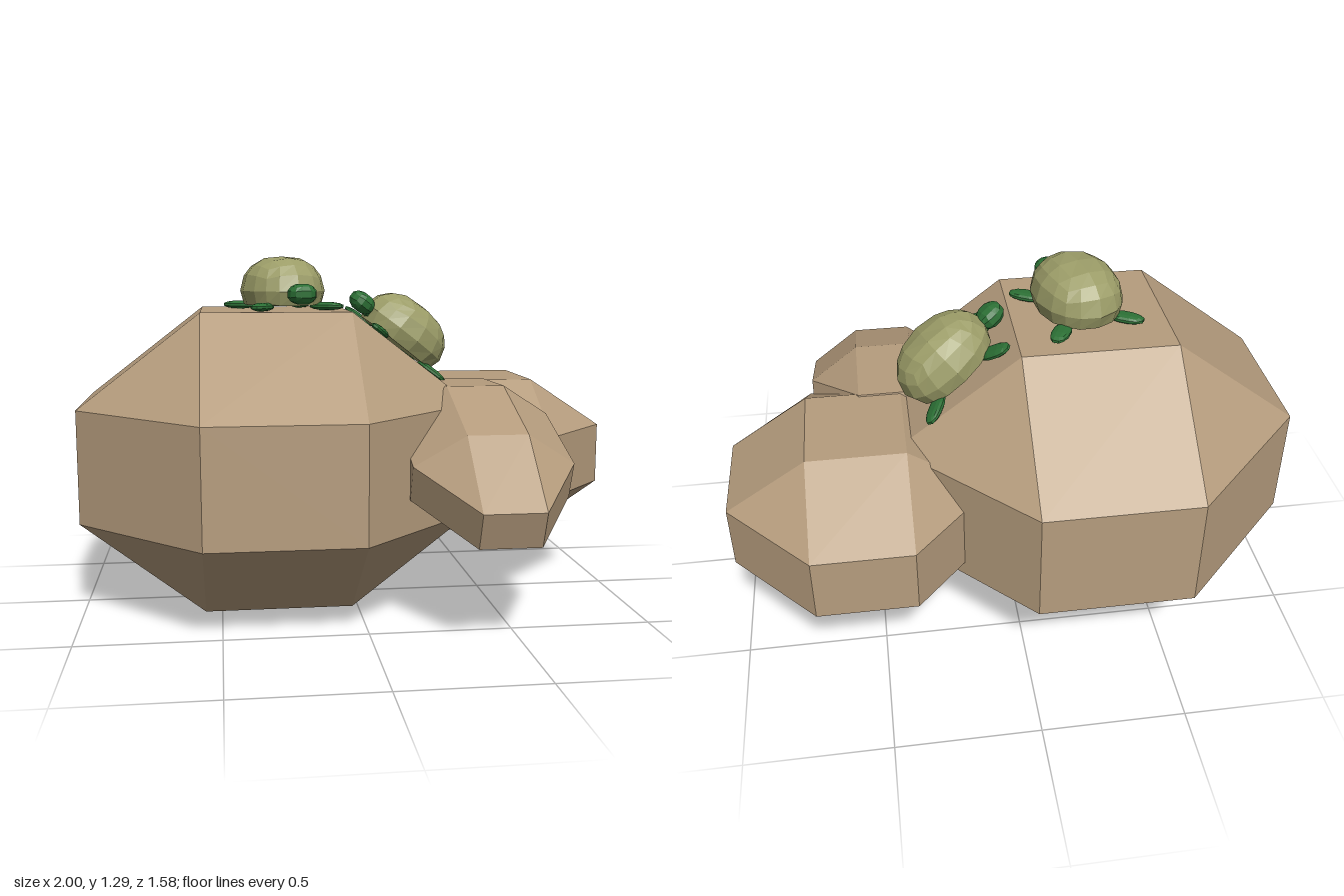
import * as THREE from 'three';
import { ConvexGeometry } from 'three/addons/geometries/ConvexGeometry.js';

const mat = (color) => new THREE.MeshStandardMaterial({ color, flatShading: true });

// Boulder: a box with broad bevels, from its half sizes and the half sizes of its flat faces
function rock(name, material, outer, inner, position, tilt = 0) {
  const points = [];
  for (const sx of [-1, 1]) for (const sy of [-1, 1]) for (const sz of [-1, 1])
    for (let axis = 0; axis < 3; axis++) {
      const p = [0, 1, 2].map((i) => (i === axis ? outer[i] : inner[i]));
      points.push(new THREE.Vector3(p[0] * sx, p[1] * sy, p[2] * sz));
    }
  const mesh = new THREE.Mesh(new ConvexGeometry(points), material);
  mesh.name = name;
  mesh.position.set(...position);
  mesh.rotation.x = tilt;
  return mesh;
}

// Rounded low-poly lump: a subdivided cube pushed onto an ellipsoid, flattened above and below
function lump(name, material, [w, h, l], segments, low = -1, high = 1) {
  const geometry = new THREE.BoxGeometry(2, 2, 2, segments, segments, segments);
  const pos = geometry.attributes.position;
  const v = new THREE.Vector3();
  for (let i = 0; i < pos.count; i++) {
    v.fromBufferAttribute(pos, i).normalize();
    pos.setXYZ(i, v.x * w / 2, THREE.MathUtils.clamp(v.y, low, high) * h / 2, v.z * l / 2);
  }
  geometry.computeVertexNormals();
  const mesh = new THREE.Mesh(geometry, material);
  mesh.name = name;
  return mesh;
}

// Turtle facing its own +z, standing on y = 0
function turtle(name, shellMat, skinMat) {
  const group = new THREE.Group();
  group.name = name;

  const shell = lump('shell', shellMat, [0.31, 0.27, 0.38], 4, -0.38, 0.94);
  shell.position.y = 0.07;
  group.add(shell);

  const head = lump('head', skinMat, [0.11, 0.08, 0.11], 3);
  head.position.set(0, 0.062, 0.215);
  group.add(head);

  const neck = lump('neck', skinMat, [0.06, 0.05, 0.12], 2);
  neck.position.set(0, 0.05, 0.16);
  group.add(neck);

  for (const side of [-1, 1]) for (const end of [-1, 1]) {
    const flipper = lump(end > 0 ? 'frontFlipper' : 'rearFlipper', skinMat, [0.068, 0.032, 0.14], 3);
    flipper.position.set(side * 0.125, 0.015, end * 0.14);
    flipper.rotation.y = side * end * Math.PI / 4;
    group.add(flipper);
  }
  return group;
}

export function createModel() {
  const model = new THREE.Group();
  model.name = 'turtlesOnRocks';
  const stone = mat(0xb59c7d);
  const shellMat = mat(0x9c9d68);
  const skinMat = mat(0x2c7035);

  // Rocks
  model.add(
    rock('largeRock', stone, [0.71, 0.545, 0.71], [0.27, 0.205, 0.27], [-0.29, 0.545, -0.08]),
    rock('sideRock', stone, [0.45, 0.3, 0.485], [0.17, 0.115, 0.185], [0.55, 0.51, -0.265]),
    rock('leaningRock', stone, [0.28, 0.185, 0.475], [0.105, 0.067, 0.18], [0.425, 0.585, 0.325], 0.36),
  );

  // Turtle on the flat top of the large rock
  const top = turtle('topTurtle', shellMat, skinMat);
  top.position.set(-0.255, 1.09, -0.07);
  top.rotation.y = 0.28;
  model.add(top);

  // Turtle climbing the sloping side of the large rock
  const slope = new THREE.Group();
  slope.name = 'slope';
  slope.position.set(0.18, 0.937, -0.16);
  slope.rotation.z = -Math.atan2(0.34, 0.44);
  const climber = turtle('climbingTurtle', shellMat, skinMat);
  climber.rotation.y = -1.3;
  slope.add(climber);
  model.add(slope);

  return model;
}
